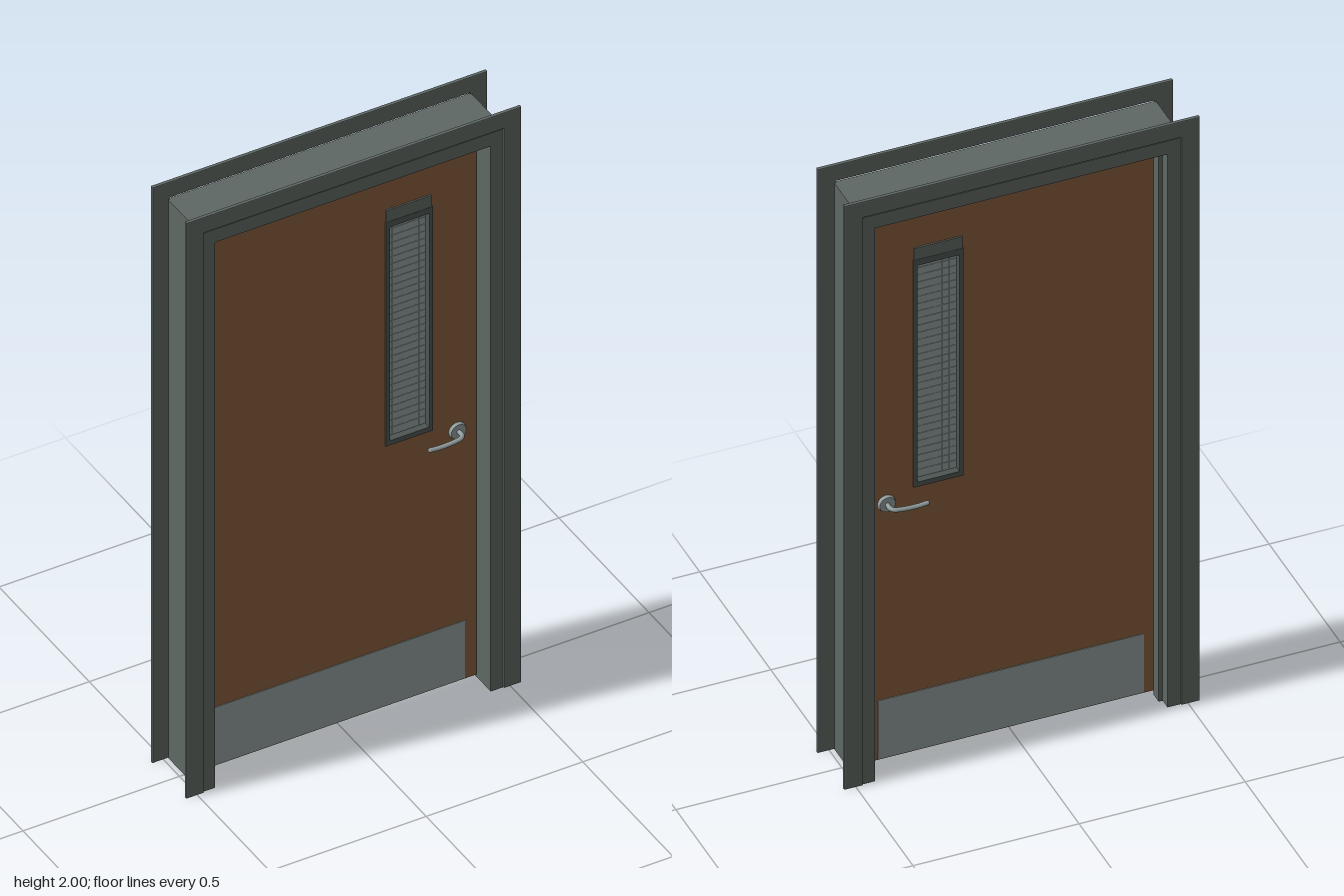
import * as THREE from 'three';

export function createModel() {
  const mat = (name, color) => {
    const m = new THREE.MeshStandardMaterial({ color });
    m.name = name;
    return m;
  };
  const frameGrey = mat('frame grey', 0x5f6864);
  const doorBrown = mat('door brown', 0x8a5e3c);
  const steel = mat('pale steel', 0x939e9e);
  const darkGrey = mat('dark trim grey', 0x4d5653);

  const model = new THREE.Group();
  model.name = 'framedDoor';

  const add = (parent, name, geometry, material, x = 0, y = 0, z = 0) => {
    const mesh = new THREE.Mesh(geometry, material);
    mesh.name = name;
    mesh.position.set(x, y, z);
    parent.add(mesh);
    return mesh;
  };
  // Box given by its limits
  const box = (parent, name, material, x0, x1, y0, y1, z0, z1) =>
    add(parent, name, new THREE.BoxGeometry(x1 - x0, y1 - y0, z1 - z0), material,
      (x0 + x1) / 2, (y0 + y1) / 2, (z0 + z1) / 2);

  // Upside-down U around the doorway, with an optional small bevel
  const surround = (name, outerX, outerY, innerX, innerY, z0, z1, bevel = 0) => {
    const b = bevel;
    const shape = new THREE.Shape([
      [-outerX + b, b], [-innerX - b, b], [-innerX - b, innerY + b], [innerX + b, innerY + b],
      [innerX + b, b], [outerX - b, b], [outerX - b, outerY - b], [-outerX + b, outerY - b],
    ].map(([x, y]) => new THREE.Vector2(x, y)));
    const geometry = new THREE.ExtrudeGeometry(shape, {
      depth: z1 - z0 - 2 * b, bevelEnabled: b > 0, bevelThickness: b, bevelSize: b, bevelSegments: 2,
    });
    add(model, name, geometry, frameGrey, 0, 0, z0 + b);
  };

  // Frame: face trims, lining and the stop behind the door
  surround('frontTrim', 0.535, 2, 0.48, 1.945, 0.088, 0.1, 0.003);
  surround('backTrim', 0.535, 2, 0.48, 1.945, -0.1, -0.088, 0.003);
  surround('jamb', 0.485, 1.94, 0.44, 1.895, -0.094, 0.094);
  surround('doorStop', 0.445, 1.9, 0.428, 1.88, -0.06, -0.022);

  // Door leaf, built around the window opening
  const door = new THREE.Group();
  door.name = 'door';
  model.add(door);
  const slab = new THREE.Shape([[-0.438, 0.012], [0.438, 0.012], [0.438, 1.888], [-0.438, 1.888]]
    .map(([x, y]) => new THREE.Vector2(x, y)));
  slab.holes.push(new THREE.Path([[0.15, 0.925], [0.15, 1.69], [0.29, 1.69], [0.29, 0.925]]
    .map(([x, y]) => new THREE.Vector2(x, y))));
  add(door, 'doorLeaf', new THREE.ExtrudeGeometry(slab, { depth: 0.04, bevelEnabled: false }),
    doorBrown, 0, 0, -0.02);

  // Wired glass
  box(door, 'glass', steel, 0.15, 0.29, 0.925, 1.69, -0.004, 0.004);
  for (const z of [-0.0045, 0.0045]) {
    for (let i = 1; i < 6; i++) {
      const x = 0.157 + i * 0.021;
      box(door, 'uprightWire', steel, x - 0.0007, x + 0.0007, 0.93, 1.685, z - 0.001, z + 0.001);
    }
    for (let i = 1; i < 30; i++) {
      const y = 0.935 + i * 0.0247;
      box(door, 'crossWire', steel, 0.152, 0.288, y - 0.0007, y + 0.0007, z - 0.001, z + 0.001);
    }
  }

  // Fittings repeated on both faces
  for (const side of [1, -1]) {
    const face = new THREE.Group();
    face.name = side > 0 ? 'frontFittings' : 'backFittings';
    door.add(face);
    const plate = (name, material, x0, x1, y0, y1, a, b) =>
      box(face, name, material, x0, x1, y0, y1, Math.min(side * a, side * b), Math.max(side * a, side * b));

    plate('kickPlate', steel, -0.4, 0.4, 0.015, 0.215, 0.02, 0.022);

    // Window bead
    plate('windowBeadLeft', darkGrey, 0.283, 0.295, 0.918, 1.696, 0.004, 0.026);
    plate('windowBeadRight', darkGrey, 0.145, 0.157, 0.918, 1.696, 0.004, 0.026);
    plate('windowBeadTop', darkGrey, 0.157, 0.283, 1.676, 1.696, 0.004, 0.026);
    plate('windowBeadBottom', darkGrey, 0.157, 0.283, 0.918, 0.934, 0.004, 0.026);
    plate('signPlate', frameGrey, 0.147, 0.293, 1.696, 1.736, 0.02, 0.025);

    // Lever handle
    const rose = add(face, 'handleRose', new THREE.CylinderGeometry(0.024, 0.027, 0.01, 32),
      steel, 0.375, 0.885, side * 0.025);
    rose.rotation.x = side * Math.PI / 2;
    const path = new THREE.CatmullRomCurve3([
      [0.375, 0.885, 0.022], [0.375, 0.885, 0.048], [0.368, 0.884, 0.057],
      [0.35, 0.882, 0.06], [0.3, 0.879, 0.06], [0.268, 0.88, 0.058],
    ].map(([x, y, z]) => new THREE.Vector3(x, y, side * z)));
    add(face, 'handleLever', new THREE.TubeGeometry(path, 32, 0.007, 12), steel);
    add(face, 'handleTip', new THREE.SphereGeometry(0.007, 12, 8), steel, 0.268, 0.88, side * 0.058);
  }

  return model;
}
